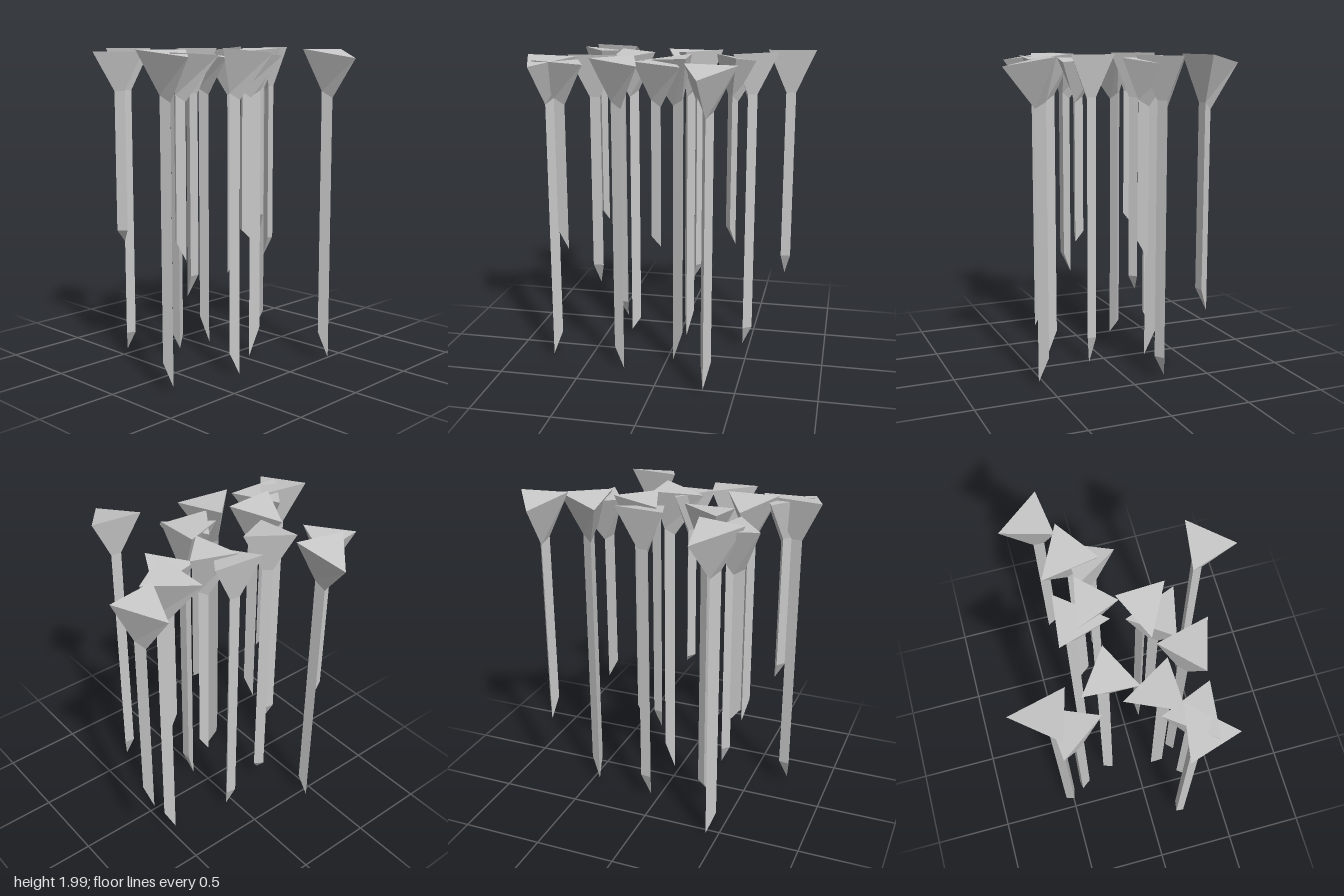
import * as THREE from 'three';

// Each nail: head corners [x, z] with the lowest corner first, heights of the low and high head corners,
// the height of the tip, and the rise of the slanted cut
const NAILS = [
  { head: [[-0.38, -0.54], [-0.69, -0.51], [-0.505, -0.26]], top: [1.95, 1.97], tip: 0.78, rise: 0.08 },
  { head: [[-0.37, -0.745], [-0.6, -0.49], [-0.31, -0.41]], top: [1.93, 1.99], tip: 0.02, rise: 0.13 },
  { head: [[-0.39, -0.02], [-0.385, -0.34], [-0.13, -0.16]], top: [1.94, 1.98], tip: 0.08, rise: 0.08 },
  { head: [[-0.455, -0.135], [-0.29, 0.155], [-0.605, 0.165]], top: [1.95, 1.99], tip: 0.5, rise: 0.14 },
  { head: [[-0.77, 0.42], [-0.875, 0.11], [-0.55, 0.165]], top: [1.94, 1.98], tip: 0.04, rise: 0.14 },
  { head: [[-0.46, 0.34], [-0.59, 0.035], [-0.79, 0.3]], top: [1.95, 1.965], tip: 0.77, rise: 0.12 },
  { head: [[-0.11, 0.435], [-0.2, 0.12], [-0.42, 0.335]], top: [1.96, 1.99], tip: 0.01, rise: 0.14 },
  { head: [[0.12, 0.31], [-0.18, 0.24], [-0.01, 0]], top: [1.945, 1.965], tip: 0.81, rise: 0.06 },
  { head: [[-0.15, 0.11], [0.13, -0.02], [0.145, 0.265]], top: [1.96, 1.99], tip: 0.01, rise: 0.19 },
  { head: [[0.03, -0.075], [-0.085, -0.385], [0.23, -0.35]], top: [1.93, 1.98], tip: 0.02, rise: 0.17 },
  { head: [[0, -0.27], [0.295, -0.21], [0.095, -0.01]], top: [1.97, 2], tip: 0.5, rise: 0.1 },
  { head: [[0.34, -0.385], [0.645, -0.23], [0.38, -0.045]], top: [1.95, 1.99], tip: 0.02, rise: 0.14 },
  { head: [[0.55, -0.22], [0.25, -0.2], [0.41, 0.05]], top: [1.93, 1.975], tip: 0.76, rise: 0.12 },
  { head: [[0.69, -0.55], [0.87, -0.29], [0.575, -0.25]], top: [1.95, 2], tip: 0.5, rise: 0.14 },
  { head: [[0.29, 0.735], [0.165, 0.435], [0.48, 0.48]], top: [1.93, 1.985], tip: 0.04, rise: 0.16 },
];

// Faceted solid lofted through triangular rings, listed from top to bottom
function loft(rings, capTop, capBottom) {
  const positions = [];
  const face = (...points) => points.forEach((p) => positions.push(...p));
  for (let r = 0; r < rings.length - 1; r++) {
    for (let i = 0; i < 3; i++) {
      const j = (i + 1) % 3;
      const [a, b, c, d] = [rings[r][i], rings[r][j], rings[r + 1][i], rings[r + 1][j]];
      face(a, c, b);
      face(b, c, d);
    }
  }
  if (capTop) face(...rings[0]);
  if (capBottom) face(...rings[rings.length - 1].slice().reverse());
  const geometry = new THREE.BufferGeometry();
  geometry.setAttribute('position', new THREE.Float32BufferAttribute(positions, 3));
  geometry.computeVertexNormals();
  return geometry;
}

function makeNail({ head, top, tip, rise }, material) {
  // Order corners anticlockwise seen from above, keeping the lowest first
  let [a, b, c] = head;
  const turn = (b[0] - a[0]) * (c[1] - a[1]) - (b[1] - a[1]) * (c[0] - a[0]);
  if (turn > 0) [b, c] = [c, b];
  const corners = [a, b, c];
  const cx = (a[0] + b[0] + c[0]) / 3;
  const cz = (a[1] + b[1] + c[1]) / 3;

  // The shaft sits off centre, away from the lowest corner of the tilted head
  const sx = cx - 0.2 * (a[0] - cx);
  const sz = cz - 0.2 * (a[1] - cz);
  const shaftRing = (low, high) => corners.map(([x, z], i) =>
    [sx + 0.21 * (x - cx), i ? high : low, sz + 0.21 * (z - cz)]);

  const rim = corners.map(([x, z], i) => [x, i ? top[1] : top[0], z]);
  const neck = shaftRing(1.69, 1.73);
  const foot = shaftRing(tip, tip + rise);

  const nail = new THREE.Group();
  nail.name = 'nail';
  const headMesh = new THREE.Mesh(loft([rim, neck], true, false), material);
  headMesh.name = 'nailHead';
  const shaftMesh = new THREE.Mesh(loft([neck, foot], false, true), material);
  shaftMesh.name = 'nailShaft';
  nail.add(headMesh, shaftMesh);
  return nail;
}

export function createModel() {
  const steel = new THREE.MeshStandardMaterial({ color: 0xc8c8c8, flatShading: true });
  steel.name = 'steelGrey';
  const model = new THREE.Group();
  model.name = 'nailCluster';
  NAILS.forEach((nail) => model.add(makeNail(nail, steel)));
  return model;
}
